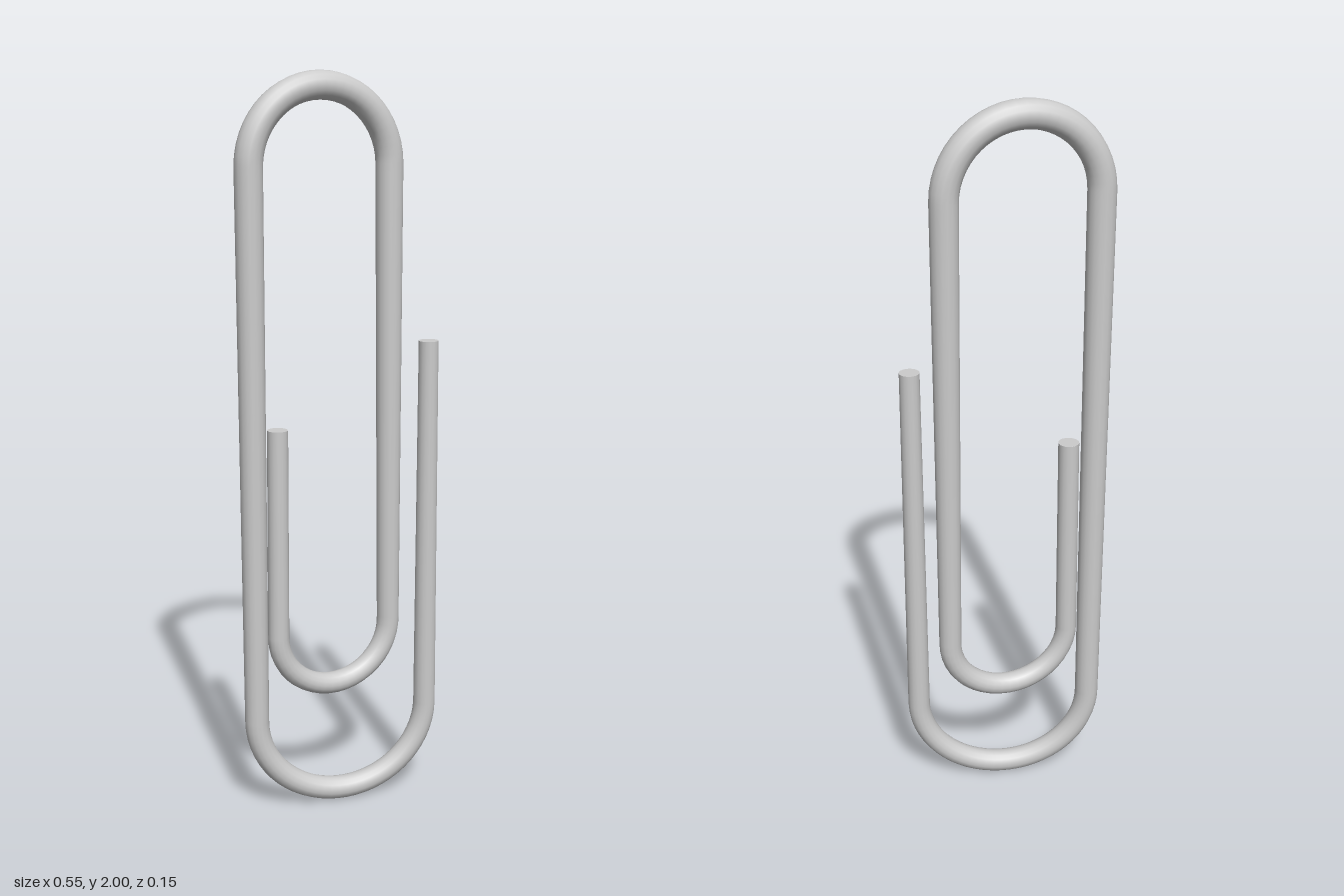
import * as THREE from 'three';

// Half turn between two leg ends, bulging up (+1) or down (-1)
class HalfTurn extends THREE.Curve {
  constructor(from, to, bulge) {
    super();
    Object.assign(this, { from, to, bulge });
  }
  getPoint(t, target = new THREE.Vector3()) {
    target.lerpVectors(this.from, this.to, (1 - Math.cos(Math.PI * t)) / 2);
    target.y = THREE.MathUtils.lerp(this.from.y, this.to.y, t) + this.bulge * Math.sin(Math.PI * t);
    return target;
  }
}

export function createModel() {
  const group = new THREE.Group();
  group.name = 'paperClip';
  const material = new THREE.MeshStandardMaterial({ color: 0xcccccc });
  const v = (x, y, z) => new THREE.Vector3(x, y, z);

  // Leg ends in order along the wire, from the inner tip to the outer tip
  const p = [
    v(-0.168, 1.08, -0.036), v(-0.172, 0.5, -0.034),
    v(0.168, 0.5, -0.034), v(0.164, 1.762, -0.038),
    v(-0.24, 1.762, -0.038), v(-0.239, 0.265, -0.036),
    v(0.245, 0.265, 0.044), v(0.243, 1.3, 0.044),
  ];
  const radii = [0.028, 0.029, 0.031, 0.037, 0.037, 0.033, 0.031, 0.027];
  const bulges = { 1: -0.163, 3: 0.202, 5: -0.233 };

  const path = new THREE.CurvePath();
  for (let i = 0; i < p.length - 1; i++) {
    path.add(i in bulges
      ? new HalfTurn(p[i], p[i + 1], bulges[i])
      : new THREE.LineCurve3(p[i], p[i + 1]));
  }

  // Wire radius at a fraction of the whole length
  const ends = [0, ...path.getCurveLengths()];
  const total = ends[ends.length - 1];
  const radiusAt = (u) => {
    const d = u * total;
    let i = 0;
    while (i < radii.length - 2 && d > ends[i + 1]) i++;
    return THREE.MathUtils.mapLinear(d, ends[i], ends[i + 1], radii[i], radii[i + 1]);
  };

  // Bent wire: a unit-radius tube whose rings are scaled to the local radius
  const rings = 260, sides = 16;
  const wireGeometry = new THREE.TubeGeometry(path, rings, 1, sides, false);
  const pos = wireGeometry.attributes.position;
  const vertex = new THREE.Vector3();
  for (let i = 0; i <= rings; i++) {
    const centre = path.getPointAt(i / rings);
    const r = radiusAt(i / rings);
    for (let j = 0; j <= sides; j++) {
      const k = i * (sides + 1) + j;
      vertex.fromBufferAttribute(pos, k).sub(centre).multiplyScalar(r).add(centre);
      pos.setXYZ(k, vertex.x, vertex.y, vertex.z);
    }
  }
  const wire = new THREE.Mesh(wireGeometry, material);
  wire.name = 'bentWire';
  group.add(wire);

  // Flat cut ends, both facing up
  for (const [name, i] of [['innerEndCap', 0], ['outerEndCap', p.length - 1]]) {
    const cap = new THREE.Mesh(new THREE.CircleGeometry(radii[i], sides), material);
    cap.name = name;
    cap.rotation.x = -Math.PI / 2;
    cap.position.copy(p[i]);
    group.add(cap);
  }
  return group;
}
